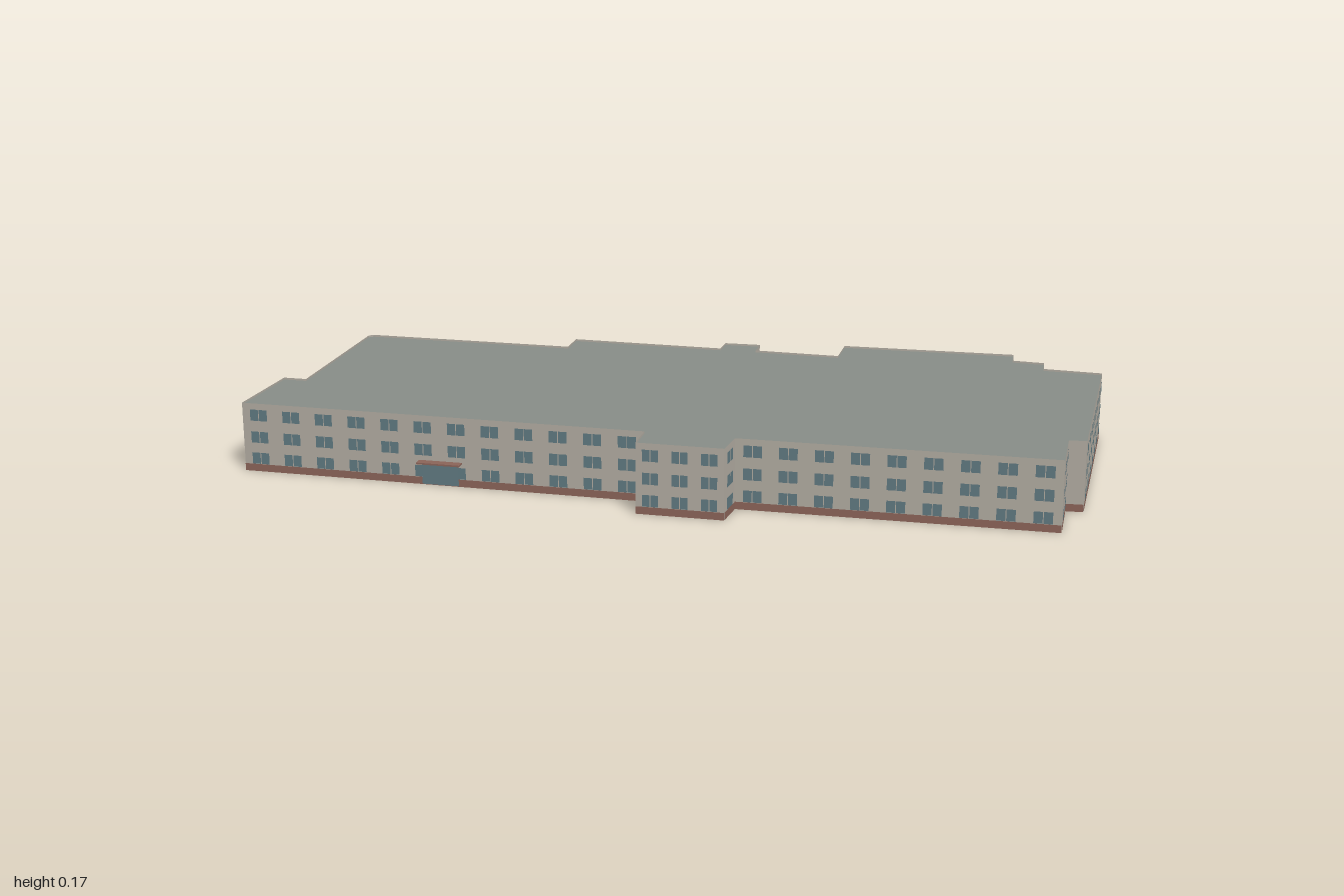
import * as THREE from 'three';
import { mergeGeometries } from 'three/addons/utils/BufferGeometryUtils.js';

const HEIGHT = 0.17, ROOF_Y = 0.165, PLINTH = 0.018;

// Building footprint as [x, z], starting at the front right corner and running along the front
const OUTLINE = [
  [-1, 0.375], [-0.005, 0.382], [-0.005, 0.467], [0.2, 0.467], [0.208, 0.386],
  [0.947, 0.38], [0.947, 0.232], [0.988, 0.23], [1, -0.343], [0.854, -0.352],
  [0.852, -0.407], [0.772, -0.413], [0.77, -0.47], [0.33, -0.459], [0.328, -0.357],
  [0.11, -0.363], [0.11, -0.42], [0.018, -0.417], [0.016, -0.362], [-0.378, -0.368],
  [-0.378, -0.29], [-0.92, -0.29], [-0.93, -0.28], [-0.93, 0.15], [-0.988, 0.15],
];

const paint = (color, side = THREE.FrontSide) => new THREE.MeshStandardMaterial({ color, side });

function part(name, geometry, material) {
  const mesh = new THREE.Mesh(geometry, material);
  mesh.name = name;
  return mesh;
}

// Upright rectangle in a facade's own frame, lifted off the wall by z
function panel(x, y, w, h, z) {
  return new THREE.PlaneGeometry(w, h).translate(x, y, z);
}

export function createModel() {
  const model = new THREE.Group();
  model.name = 'officeBuilding';
  const wallPaint = paint(0xb0aaa0, THREE.DoubleSide);
  const glass = paint(0x5f7880);
  const brick = paint(0x8a6358);
  const roofPaint = paint(0x868c86, THREE.DoubleSide);

  const walls = [], plinths = [], panes = [];
  OUTLINE.forEach(([x0, z0], i) => {
    const [x1, z1] = OUTLINE[(i + 1) % OUTLINE.length];
    const dx = x1 - x0, dz = z1 - z0, length = Math.hypot(dx, dz);
    const place = new THREE.Matrix4().makeRotationY(Math.atan2(-dz, dx))
      .setPosition((x0 + x1) / 2, 0, (z0 + z1) / 2);
    const add = (list, geometry) => list.push(geometry.applyMatrix4(place));

    add(walls, panel(0, HEIGHT / 2, length, HEIGHT, 0));
    add(plinths, panel(0, PLINTH / 2, length, PLINTH, 0.001));

    // Three storeys of two-pane windows, evenly spaced along each wall
    if (length < 0.05) return;
    const count = Math.max(1, Math.round(length / 0.082));
    const step = length / count;
    const width = Math.min(0.045, step * 0.58);
    for (const y of [0.033, 0.086, 0.141]) {
      for (let k = 0; k < count; k++) {
        const centre = (k + 0.5) * step - length / 2;
        for (const s of [-1, 1]) {
          add(panes, panel(centre + s * width / 4, y, width / 2 - 0.002, 0.028, 0.0015));
        }
      }
    }
  });
  model.add(part('walls', mergeGeometries(walls), wallPaint));
  model.add(part('plinth', mergeGeometries(plinths), brick));
  model.add(part('windows', mergeGeometries(panes), glass));

  // Flat roof set just below the top of the walls
  const shape = new THREE.Shape(OUTLINE.map(([x, z]) => new THREE.Vector2(x, -z)));
  const roof = part('roof', new THREE.ShapeGeometry(shape).rotateX(-Math.PI / 2), roofPaint);
  roof.position.y = ROOF_Y;
  model.add(roof);

  // Glazed entrance under a small canopy
  const entrance = new THREE.Group();
  entrance.name = 'entrance';
  entrance.position.set(-0.502, 0, 0.379);
  entrance.add(part('doors', panel(0, 0.029, 0.09, 0.054, 0.003), glass));
  entrance.add(part('canopy',
    new THREE.BoxGeometry(0.106, 0.004, 0.022).translate(0, 0.058, 0.011), brick));
  model.add(entrance);
  return model;
}
